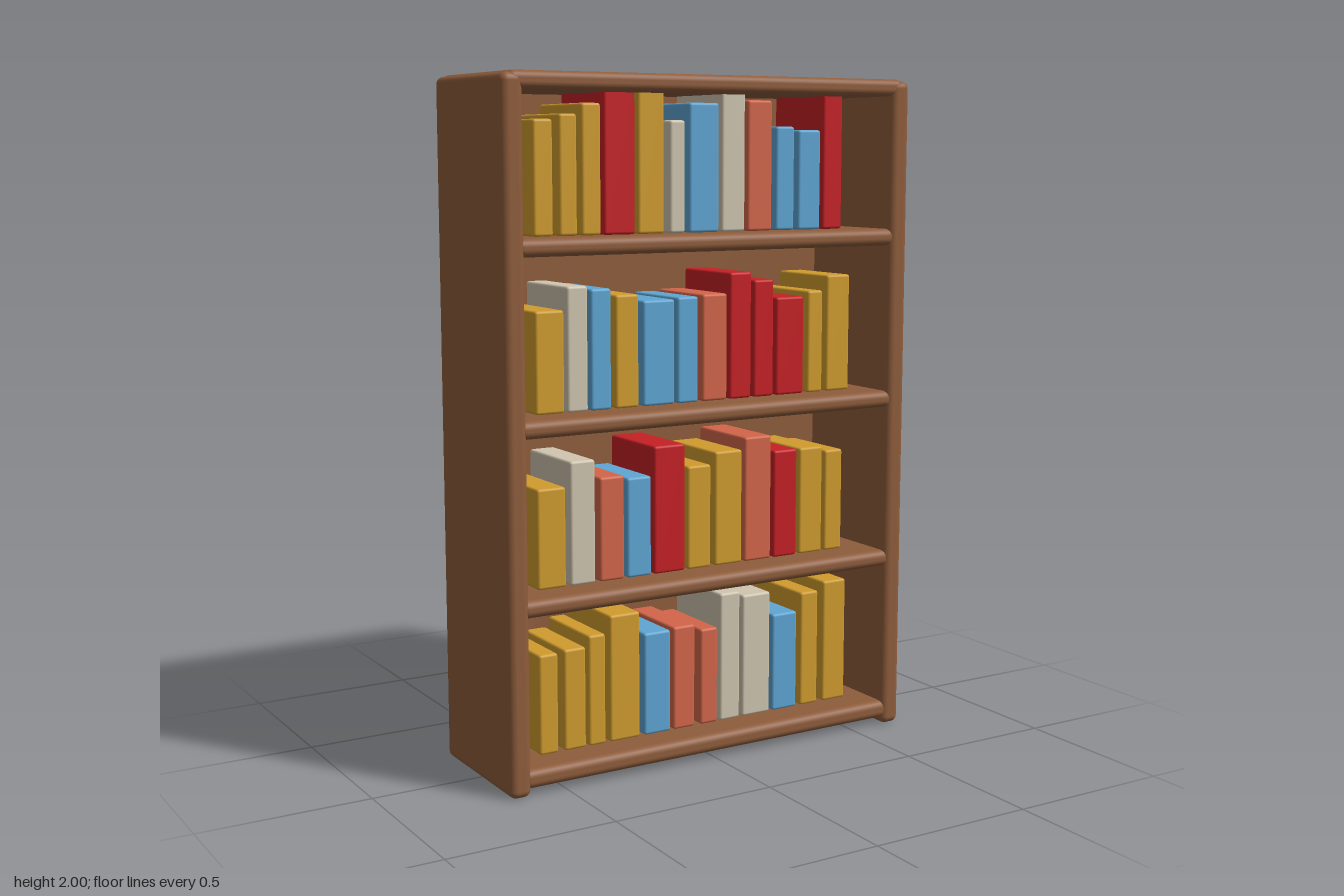
import * as THREE from 'three';
import { RoundedBoxGeometry } from 'three/addons/geometries/RoundedBoxGeometry.js';

const material = (name, color) => new THREE.MeshStandardMaterial({ name, color });

// Rounded block given by its two opposite corners
function block(name, mat, [x0, y0, z0], [x1, y1, z1], radius, segments = 4) {
  const geo = new RoundedBoxGeometry(x1 - x0, y1 - y0, z1 - z0, segments, radius);
  const mesh = new THREE.Mesh(geo, mat);
  mesh.name = name;
  mesh.position.set((x0 + x1) / 2, (y0 + y1) / 2, (z0 + z1) / 2);
  return mesh;
}

// Each row: height of its base, then books as [left, right, top, colour]
const rows = [
  { base: 1.555, books: [
    [-0.535, -0.475, 1.875, 'y'], [-0.455, -0.4, 1.89, 'y'], [-0.385, -0.325, 1.92, 'y'],
    [-0.315, -0.215, 1.965, 'r'], [-0.205, -0.12, 1.965, 'y'], [-0.1, -0.05, 1.875, 'w'],
    [-0.035, 0.065, 1.925, 'b'], [0.075, 0.155, 1.965, 'w'], [0.165, 0.25, 1.935, 'c'],
    [0.265, 0.33, 1.86, 'b'], [0.345, 0.425, 1.85, 'b'], [0.435, 0.505, 1.965, 'r']] },
  { base: 1.06, books: [
    [-0.535, -0.445, 1.35, 'y'], [-0.435, -0.37, 1.415, 'w'], [-0.36, -0.295, 1.405, 'b'],
    [-0.28, -0.205, 1.385, 'y'], [-0.19, -0.085, 1.365, 'b'], [-0.075, -0.005, 1.37, 'b'],
    [0.01, 0.095, 1.375, 'c'], [0.105, 0.18, 1.435, 'r'], [0.19, 0.26, 1.41, 'r'],
    [0.27, 0.37, 1.355, 'r'], [0.385, 0.44, 1.37, 'y'], [0.455, 0.54, 1.415, 'y']] },
  { base: 0.56, books: [
    [-0.535, -0.445, 0.85, 'y'], [-0.43, -0.35, 0.92, 'w'], [-0.335, -0.255, 0.865, 'c'],
    [-0.245, -0.165, 0.855, 'b'], [-0.155, -0.05, 0.94, 'r'], [-0.04, 0.04, 0.87, 'y'],
    [0.055, 0.15, 0.905, 'y'], [0.16, 0.255, 0.94, 'c'], [0.265, 0.35, 0.89, 'r'],
    [0.36, 0.445, 0.89, 'y'], [0.455, 0.52, 0.875, 'y']] },
  { base: 0.075, books: [
    [-0.535, -0.475, 0.37, 'y'], [-0.455, -0.385, 0.375, 'y'], [-0.375, -0.32, 0.405, 'y'],
    [-0.305, -0.205, 0.455, 'y'], [-0.19, -0.1, 0.385, 'b'], [-0.09, -0.015, 0.39, 'c'],
    [0.005, 0.065, 0.37, 'c'], [0.075, 0.145, 0.47, 'w'], [0.155, 0.255, 0.455, 'w'],
    [0.265, 0.355, 0.38, 'b'], [0.37, 0.435, 0.435, 'y'], [0.455, 0.54, 0.46, 'y']] },
];

export function createModel() {
  const wood = material('brown wood', 0x8f5d3c);
  const covers = {
    y: material('ochre cover', 0xd09c2e),
    r: material('red cover', 0xc62025),
    b: material('blue cover', 0x5fa6d4),
    w: material('cream cover', 0xd0c6b0),
    c: material('coral cover', 0xd3664a),
  };
  const model = new THREE.Group();
  model.name = 'bookcase';

  // Carcass: sides, back, top and bottom
  model.add(
    block('leftSide', wood, [0.612, 0, -0.218], [0.677, 1.995, 0.226], 0.022),
    block('rightSide', wood, [-0.677, 0, -0.218], [-0.612, 1.995, 0.226], 0.022),
    block('backPanel', wood, [-0.645, 0.015, -0.23], [0.645, 1.997, -0.17], 0.022),
    block('topBoard', wood, [-0.655, 1.95, -0.22], [0.655, 2, 0.224], 0.02),
    block('bottomBoard', wood, [-0.635, 0.02, -0.22], [0.635, 0.075, 0.222], 0.022),
  );

  // Shelves between the sides
  for (const { base } of rows.slice(0, 3)) {
    model.add(block('shelf', wood, [-0.635, base - 0.05, -0.2], [0.635, base, 0.222], 0.022));
  }

  // Books standing in rows
  rows.forEach(({ base, books }, i) => {
    const row = new THREE.Group();
    row.name = `bookRow${i + 1}`;
    for (const [x0, x1, top, key] of books) {
      row.add(block('book', covers[key], [x0, base, -0.14], [x1, top, 0.12], 0.008, 2));
    }
    model.add(row);
  });
  return model;
}
